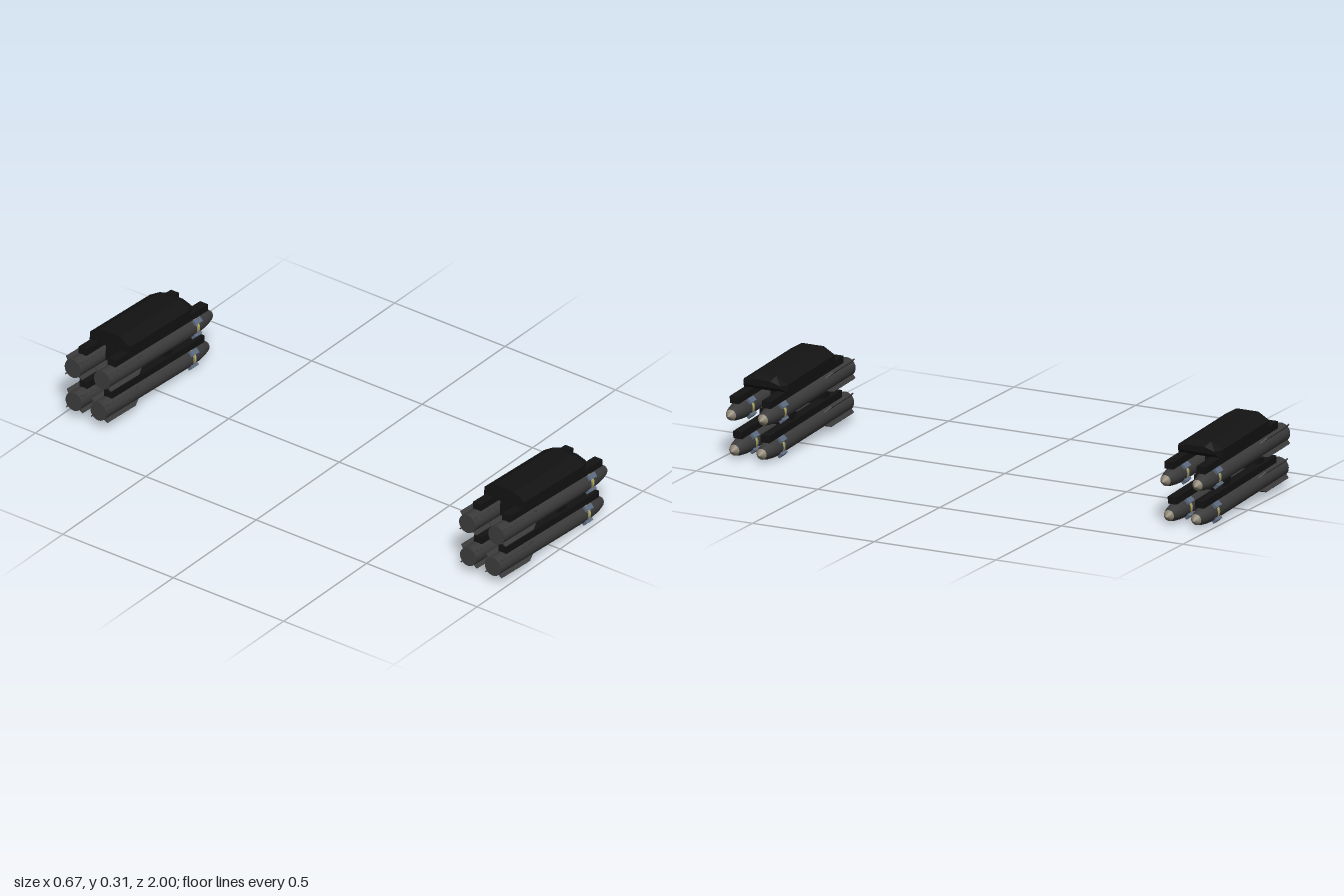
import * as THREE from 'three';
import { ConvexGeometry } from 'three/addons/geometries/ConvexGeometry.js';

const material = (name, color) => {
  const m = new THREE.MeshStandardMaterial({ color });
  m.name = name;
  return m;
};

export function createModel() {
  const casing = material('charcoal casing', 0x3b3b3b);
  const black = material('launcher black', 0x131313);
  const glass = material('seeker tan', 0x8c8473);
  const steel = material('bracket blue grey', 0x5d6b80);
  const grey = material('band grey', 0x8f8f8c);
  const yellow = material('band yellow', 0xd2c32c);

  const add = (parent, name, geometry, mat) => {
    const mesh = new THREE.Mesh(geometry, mat);
    mesh.name = name;
    parent.add(mesh);
    return mesh;
  };
  const box = (parent, name, mat, x0, x1, y0, y1, z, width) =>
    add(parent, name, new THREE.BoxGeometry(x1 - x0, y1 - y0, width), mat)
      .position.set((x0 + x1) / 2, (y0 + y1) / 2, z);
  // Turned part along +x from [x, radius] pairs
  const lathe = (pairs) => new THREE.LatheGeometry(
    pairs.map(([x, r]) => new THREE.Vector2(r, x)), 24).rotateZ(-Math.PI / 2);
  const ring = (x, length, radius) =>
    new THREE.CylinderGeometry(radius, radius, length, 24, 1, true)
      .rotateZ(-Math.PI / 2).translate(x, 0, 0);

  // Missile parts, shared by every missile
  const bodyGeo = lathe([[-0.33, 0.0365], [0, 0.0365], [0.18, 0.0365], [0.22, 0.036],
    [0.255, 0.0335], [0.285, 0.0285], [0.312, 0.021]]);
  const tailGeo = lathe([[-0.33, 0], [-0.33, 0.0365]]);
  const seekerGeo = lathe([[0.312, 0.021], [0.322, 0.014], [0.336, 0]]);
  const finShape = new THREE.Shape([[-0.327, 0.03], [-0.11, 0.03], [-0.155, 0.053], [-0.322, 0.053]]
    .map(([x, y]) => new THREE.Vector2(x, y)));
  const finGeo = new THREE.ExtrudeGeometry(finShape, { depth: 0.005, bevelEnabled: false })
    .translate(0, 0, -0.0025);
  const bracketGeo = new THREE.BoxGeometry(0.04, 0.012, 0.021).translate(0.206, 0.04, 0);

  function missile() {
    const g = new THREE.Group();
    g.name = 'missile';
    add(g, 'body', bodyGeo, casing);
    add(g, 'tailCap', tailGeo, casing);
    add(g, 'seeker', seekerGeo, glass);
    add(g, 'greyBand', ring(0.205, 0.018, 0.0372), grey);
    add(g, 'yellowBand', ring(0.207, 0.006, 0.0376), yellow);
    for (let i = 0; i < 4; i++) {
      const angle = Math.PI / 4 + i * Math.PI / 2;
      add(g, 'fin', finGeo, casing).rotation.x = angle;
      add(g, 'bracket', bracketGeo, steel).rotation.x = angle;
    }
    return g;
  }

  function pod() {
    const g = new THREE.Group();
    g.name = 'launcherPod';
    // Chamfered top beam with a tapered front
    const points = [];
    for (const s of [-1, 1]) {
      for (const x of [-0.199, 0.162]) {
        points.push([x, 0.117, s * 0.045], [x, 0.09, s * 0.09], [x, 0.058, s * 0.09]);
      }
      points.push([0.194, 0.105, s * 0.035], [0.194, 0.092, s * 0.075], [0.194, 0.081, s * 0.075]);
    }
    add(g, 'topBeam', new ConvexGeometry(points.map((p) => new THREE.Vector3(...p))), black);

    // Two tiers of paired missiles hanging on rails
    for (const [y, spread] of [[0, 0.066], [-0.133, 0.056]]) {
      for (const s of [-1, 1]) {
        const m = missile();
        m.position.set(0, y, s * spread);
        g.add(m);
        box(g, 'rail', black, -0.274, 0.284, y + 0.035, y + 0.062, s * spread, 0.036);
      }
    }
    // Posts and cross arms carrying the lower tier
    for (const x of [-0.198, 0.058]) {
      box(g, 'post', black, x, x + 0.04, -0.09, 0.07, 0, 0.034);
      box(g, 'crossArm', black, x, x + 0.04, -0.094, -0.045, 0, 0.13);
    }
    g.rotation.z = -0.0575;
    return g;
  }

  const model = new THREE.Group();
  model.name = 'missilePods';
  for (const s of [-1, 1]) {
    const p = pod();
    p.position.set(0, 0.185, s * 0.893);
    model.add(p);
  }
  return model;
}
